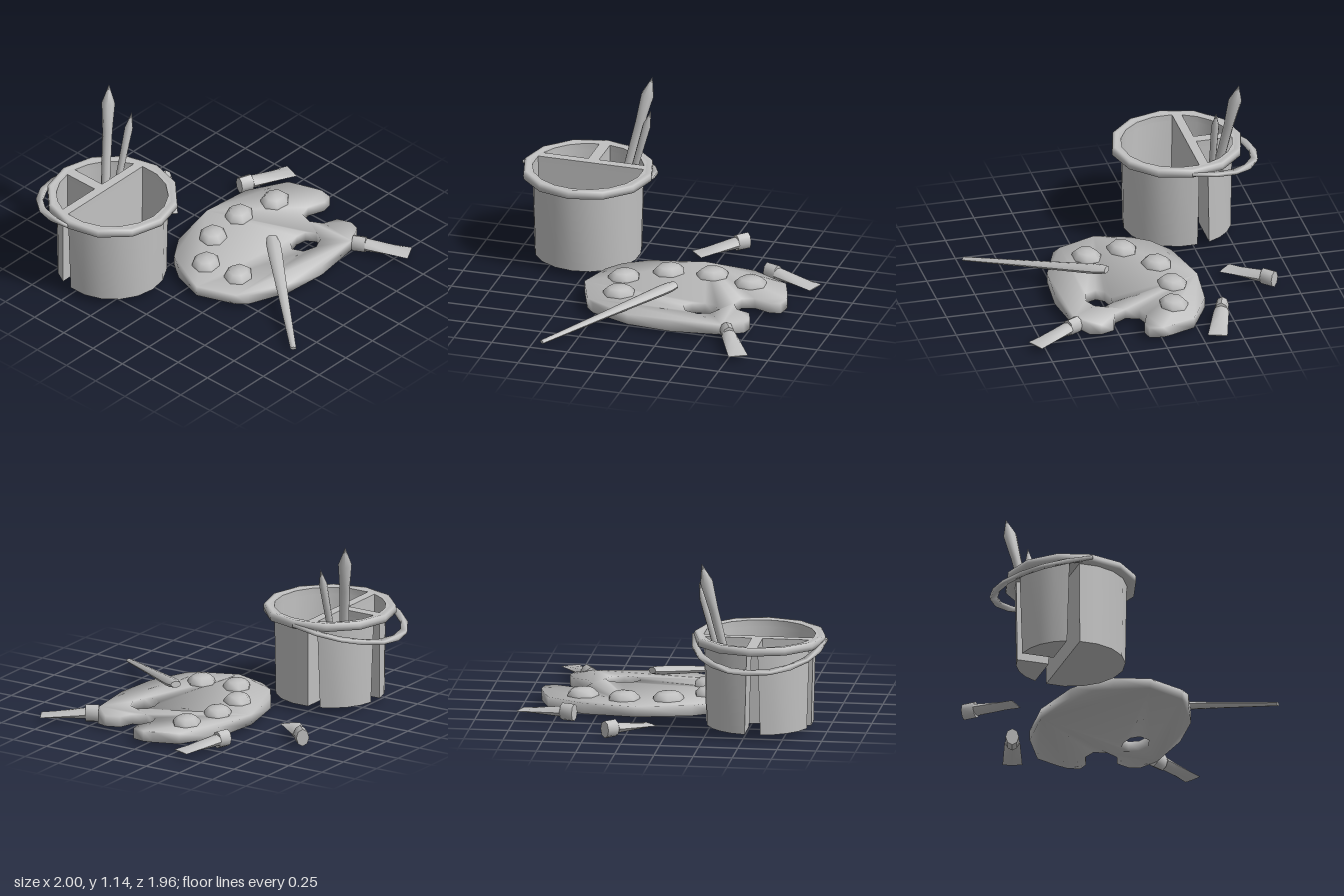
import * as THREE from 'three';
import { toCreasedNormals } from 'three/addons/utils/BufferGeometryUtils.js';

const grey = new THREE.MeshStandardMaterial({ color: 0xc0c0c0, side: THREE.DoubleSide });
grey.name = 'plain grey';

const CX = -0.565, CZ = -0.46; // bucket centre

const vec2s = (pts) => pts.map(([x, z]) => new THREE.Vector2(x, z));

function add(parent, name, geometry, crease = 0.7) {
  const mesh = new THREE.Mesh(toCreasedNormals(geometry, crease), grey);
  mesh.name = name;
  parent.add(mesh);
  return mesh;
}

// Flat slab from an outline in (x, z), with its top at height 0
function slab(outline, depth, holes = []) {
  const shape = new THREE.Shape(vec2s(outline));
  holes.forEach((h) => shape.holes.push(new THREE.Path(vec2s(h))));
  return new THREE.ExtrudeGeometry(shape, { depth, bevelEnabled: false }).rotateX(Math.PI / 2);
}

// Arc points around the bucket axis
function arc(r, from, to, n) {
  return Array.from({ length: n + 1 }, (_, i) => {
    const a = from + (to - from) * i / n;
    return [CX + r * Math.cos(a), CZ + r * Math.sin(a)];
  });
}

// Open-topped container that narrows toward its floor
function container(outline, top, bottom, taper) {
  const n = outline.length, pos = [], index = [];
  const xs = outline.map((p) => p[0]), zs = outline.map((p) => p[1]);
  const mx = (Math.min(...xs) + Math.max(...xs)) / 2;
  const mz = (Math.min(...zs) + Math.max(...zs)) / 2;
  outline.forEach(([x, z]) => pos.push(x, top, z));
  outline.forEach(([x, z]) => pos.push(mx + (x - mx) * taper, bottom, mz + (z - mz) * taper));
  pos.push(mx, bottom, mz);
  for (let i = 0; i < n; i++) {
    const j = (i + 1) % n;
    index.push(i, j, n + i, j, n + j, n + i, n + i, n + j, 2 * n);
  }
  const g = new THREE.BufferGeometry();
  g.setAttribute('position', new THREE.Float32BufferAttribute(pos, 3));
  g.setIndex(index);
  g.computeVertexNormals();
  return g;
}

function makeBucket() {
  const bucket = new THREE.Group();
  bucket.name = 'bucket';
  const R = 0.354;
  const dip = Math.asin(0.06 / R), back = Math.asin(0.12 / R);
  const gap = Math.acos(0.035 / R);
  const front = arc(R, -dip, Math.PI + dip, 10);
  const backLeft = [...arc(R, -gap, -back, 4), [CX + 0.035, CZ - 0.12]];
  const backRight = backLeft.map(([x, z]) => [2 * CX - x, z]).reverse();
  const wells = [front, backLeft, backRight];
  ['frontWell', 'backLeftWell', 'backRightWell'].forEach((name, i) =>
    add(bucket, name, container(wells[i], 0.575, 0.04, i ? 0.9 : 0.96)));

  // divided top plate and lip
  const disc = arc(0.405, 0, Math.PI * 2, 12).slice(0, -1);
  add(bucket, 'dividerPlate', slab(disc, 0.04, wells)).position.y = 0.615;
  const lip = new THREE.LatheGeometry(vec2s([
    [0.37, 0.572], [0.42, 0.57], [0.421, 0.595], [0.418, 0.618], [0.4, 0.62], [0.37, 0.613],
  ]), 12);
  add(bucket, 'lip', lip, 2).position.set(CX, 0, CZ);

  // flat carrying handle folded down behind
  const band = (rx, rz) => Array.from({ length: 11 }, (_, i) => {
    const a = Math.PI * i / 10;
    return [rx * Math.cos(a), -rz * Math.sin(a)];
  });
  const handle = add(bucket, 'handle', slab([...band(0.433, 0.535), ...band(0.395, 0.488).reverse()], 0.02), 2);
  handle.position.set(CX, 0.603, CZ);
  handle.rotation.x = -0.22;
  return bucket;
}

// Brush turned around its axis; profile is [radius, fraction of length]
function brush(parent, name, from, to, profile, flatness = 1) {
  const a = new THREE.Vector3(...from), dir = new THREE.Vector3(...to).sub(a);
  const len = dir.length();
  dir.normalize();
  const side = new THREE.Vector3().crossVectors(dir, new THREE.Vector3(0, 1, 0)).normalize();
  const over = new THREE.Vector3().crossVectors(side, dir);
  const g = new THREE.LatheGeometry(vec2s(profile.map(([r, t]) => [r, t * len])), 8);
  const mesh = add(parent, name, g.scale(1, 1, flatness), 0.9);
  mesh.position.copy(a);
  mesh.setRotationFromMatrix(new THREE.Matrix4().makeBasis(side, dir, over));
}

function makePalette() {
  const palette = new THREE.Group();
  palette.name = 'palette';
  const outline = [
    [-0.41, 0.12], [-0.34, -0.1], [-0.26, -0.21], [-0.11, -0.31], [0.24, -0.39], [0.57, -0.355],
    [0.82, -0.22], [0.88, -0.06], [0.895, 0], [0.88, 0.085], [0.81, 0.1], [0.7, 0.06], [0.62, 0.085],
    [0.595, 0.17], [0.64, 0.25], [0.73, 0.28], [0.765, 0.37], [0.745, 0.44], [0.62, 0.51],
    [0.29, 0.555], [0, 0.53], [-0.26, 0.425], [-0.315, 0.365],
  ];
  const thumb = [
    [0.3, 0.29], [0.34, 0.24], [0.42, 0.22], [0.49, 0.23], [0.53, 0.29], [0.5, 0.35], [0.42, 0.385], [0.33, 0.36],
  ];
  add(palette, 'paletteBoard', slab(outline, 0.068, [thumb]), 2).position.y = 0.092;

  // paint dabs
  [[-0.185, -0.005, 0.5], [-0.145, 0.235, 0.4], [0.06, -0.17, 0.6], [0.34, -0.2, 0.4], [0.61, -0.14, 0.3]]
    .forEach(([x, z, turn]) => {
      const profile = vec2s([[0.1, -0.01], [0.098, 0.015], [0.066, 0.045], [0, 0.05]]);
      const dab = add(palette, 'paintDab', new THREE.LatheGeometry(profile, 7), 1.2);
      dab.scale.set(1.05, 1, 0.9);
      dab.rotation.y = turn;
      dab.position.set(x, 0.092, z);
    });
  return palette;
}

// Paint tube lying from its cap end to its flat crimped end
function paintTube([x0, z0], [x1, z1]) {
  const tube = new THREE.Group();
  tube.name = 'paintTube';
  const len = Math.hypot(x1 - x0, z1 - z0), capLen = 0.085;
  const cap = new THREE.CylinderGeometry(0.056, 0.056, capLen, 8).rotateX(Math.PI / 2).scale(0.75, 1, 1);
  add(tube, 'cap', cap, 1).position.set(0, 0.056, capLen / 2);

  const body = new THREE.CylinderGeometry(1, 1, len - capLen, 8, 3).rotateX(Math.PI / 2);
  body.translate(0, 0, (len + capLen) / 2);
  const p = body.attributes.position;
  for (let i = 0; i < p.count; i++) {
    const t = (p.getZ(i) - capLen) / (len - capLen);
    p.setX(i, p.getX(i) * (0.049 + 0.014 * t));
    p.setY(i, p.getY(i) * (0.036 - 0.033 * t) + 0.055 - 0.019 * t);
  }
  add(tube, 'tubeBody', body, 1);
  tube.position.set(x0, 0, z0);
  tube.rotation.y = Math.atan2(x1 - x0, z1 - z0);
  return tube;
}

export function createModel() {
  const model = new THREE.Group();
  model.name = 'paintingSet';
  model.add(makeBucket(), makePalette());

  // brushes standing in the bucket
  brush(model, 'largeStandingBrush', [-0.41, 0.38, -0.665], [-0.24, 1.14, -0.785],
    [[0, 0], [0.027, 0], [0.03, 0.35], [0.032, 0.6], [0.043, 0.84], [0, 1]]);
  brush(model, 'smallStandingBrush', [-0.36, 0.38, -0.63], [-0.2, 0.98, -0.625],
    [[0, 0], [0.02, 0], [0.023, 0.5], [0.026, 0.82], [0, 1]]);

  // brush resting on the palette
  brush(model, 'restingBrush', [-0.43, 0.03, 0.965], [0.215, 0.182, 0.195],
    [[0, 0], [0.019, 0], [0.031, 0.45], [0.046, 0.88], [0.045, 0.95], [0.034, 1], [0, 1]], 0.62);

  model.add(
    paintTube([0.37, -0.86], [0.11, -0.598]),
    paintTube([0.62, -0.455], [0.98, -0.333]),
    paintTube([0.645, 0.495], [0.825, 0.818]),
  );
  return model;
}
